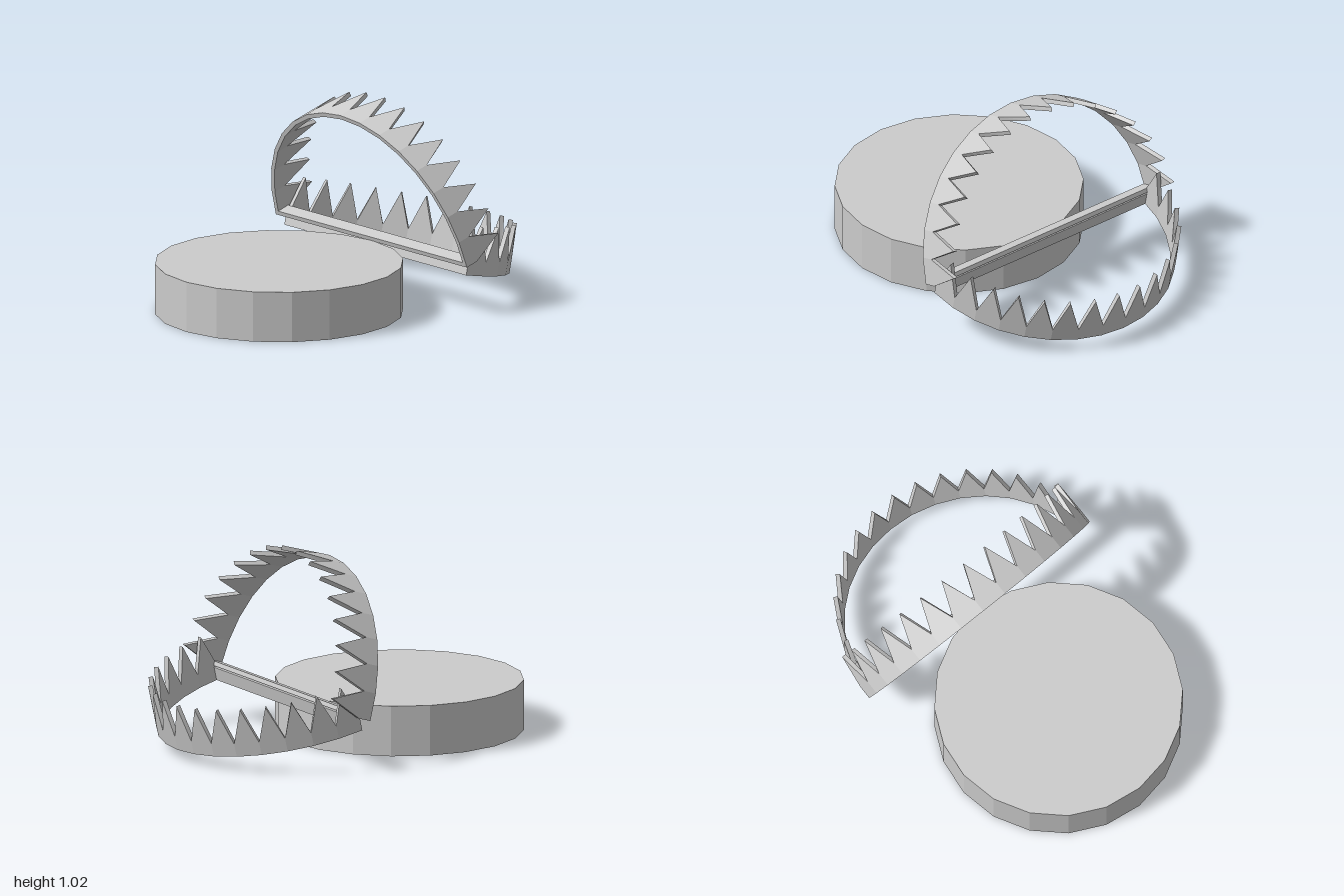
import * as THREE from 'three';

const material = new THREE.MeshStandardMaterial({ color: 0xcccccc, flatShading: true });
const TEETH = 16, BAND = 0.07, TIP = 0.25, THICK = 0.023;

// Half-round toothed band in the xy plane; the teeth point along +z
function toothedBand(radius) {
  const pos = [];
  const quad = (a, b, c, d) => [a, b, c, a, c, d].forEach(v => pos.push(v.x, v.y, v.z));
  // Five-sided outline of one tooth and its strip of band, at radius r
  const outline = (i, r) => {
    const at = (k, z) => {
      const a = Math.PI * k / TEETH;
      return new THREE.Vector3(r * Math.cos(a), r * Math.sin(a), z);
    };
    const tip = at(i, TIP).lerp(at(i + 1, TIP), 0.5);
    return [at(i, 0), at(i + 1, 0), at(i + 1, BAND), tip, at(i, BAND)];
  };
  for (let i = 0; i < TEETH; i++) {
    const o = outline(i, radius), n = outline(i, radius - THICK);
    // outer and inner walls
    quad(o[0], o[1], o[2], o[4]);
    quad(o[4], o[2], o[3], o[3]);
    quad(n[0], n[4], n[2], n[1]);
    quad(n[4], n[3], n[2], n[2]);
    // rim and tooth edges; end caps only at the two ends of the band
    for (let e = 0; e < 5; e++) {
      if ((e === 1 && i < TEETH - 1) || (e === 4 && i > 0)) continue;
      const f = (e + 1) % 5;
      quad(o[e], n[e], n[f], o[f]);
    }
  }
  const geometry = new THREE.BufferGeometry();
  geometry.setAttribute('position', new THREE.Float32BufferAttribute(pos, 3));
  geometry.computeVertexNormals();
  return geometry;
}

// Jaw: toothed band closed by a straight hinge bar
function makeJaw(name, radius) {
  const jaw = new THREE.Group();
  jaw.name = name;
  const band = new THREE.Mesh(toothedBand(radius), material);
  band.name = 'toothedBand';
  const bar = new THREE.Mesh(new THREE.BoxGeometry(2 * (radius - THICK), THICK, BAND), material);
  bar.name = 'hingeBar';
  bar.position.set(0, THICK / 2, BAND / 2);
  jaw.add(band, bar);
  return jaw;
}

export function createModel() {
  const model = new THREE.Group();
  model.name = 'jawTrap';

  // Round base plate
  const base = new THREE.Mesh(new THREE.CylinderGeometry(0.63, 0.63, 0.26, 20), material);
  base.name = 'basePlate';
  base.position.set(0, 0.13, 0.37);

  // Raised jaw, leaning forward with its teeth to the back
  const upper = makeJaw('upperJaw', 0.723);
  upper.position.set(0, 0.258, -0.257);
  upper.rotation.set(THREE.MathUtils.degToRad(17), Math.PI, 0);

  // Lowered jaw, tilted down to the back with its teeth up
  const lower = makeJaw('lowerJaw', 0.688);
  lower.position.set(0, 0.206, -0.283);
  lower.rotation.x = THREE.MathUtils.degToRad(-103);

  model.add(base, upper, lower);
  return model;
}
